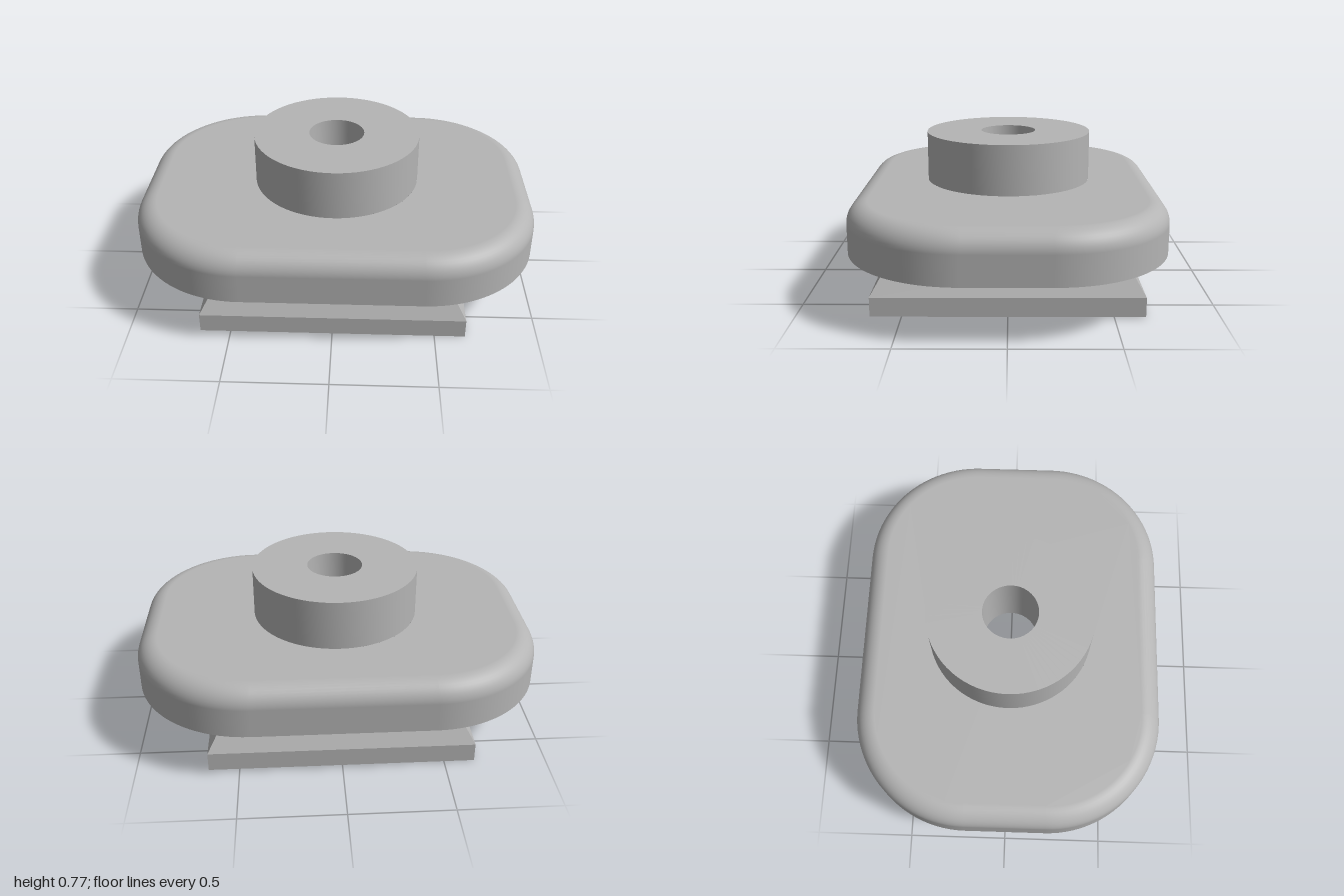
import * as THREE from 'three';
import { toCreasedNormals } from 'three/addons/utils/BufferGeometryUtils.js';

const HX = 1, HZ = 0.77, CORNER = 0.57, FILLET = 0.1;
const PLATE_Y = 0.28, PLATE_TOP = 0.525, BOSS_R = 0.42, BORE_R = 0.14;
const STEPS = 24; // segments per rounded corner

// Points of the rounded outline, moved inwards by inset: [x, z, angle]
function outline(inset) {
  const pts = [];
  const r = CORNER - inset;
  for (let q = 0; q < 4; q++) {
    const sx = q === 0 || q === 3 ? 1 : -1, sz = q < 2 ? 1 : -1;
    for (let i = 0; i <= STEPS; i++) {
      const a = (q + i / STEPS) * Math.PI / 2;
      pts.push([sx * (HX - CORNER) + r * Math.cos(a), sz * (HZ - CORNER) + r * Math.sin(a), a]);
    }
  }
  return pts;
}

// Vertical wall and rounded top edge, skinned from stacked outlines
function plateSkin() {
  const rows = [[0, PLATE_Y, 0]];
  for (let i = 0; i <= 10; i++) {
    const t = i / 10 * Math.PI / 2;
    rows.push([FILLET * (1 - Math.cos(t)), PLATE_TOP - FILLET * (1 - Math.sin(t)), t]);
  }
  const pos = [], nor = [], idx = [];
  const n = 4 * (STEPS + 1);
  rows.forEach(([inset, y, t], r) => {
    outline(inset).forEach(([x, z, a], i) => {
      pos.push(x, y, z);
      nor.push(Math.cos(a) * Math.cos(t), Math.sin(t), Math.sin(a) * Math.cos(t));
      if (r === 0) return;
      const j = (i + 1) % n, lo = (r - 1) * n, hi = r * n;
      idx.push(lo + i, hi + i, lo + j, lo + j, hi + i, hi + j);
    });
  });
  const g = new THREE.BufferGeometry();
  g.setAttribute('position', new THREE.Float32BufferAttribute(pos, 3));
  g.setAttribute('normal', new THREE.Float32BufferAttribute(nor, 3));
  g.setIndex(idx);
  return g;
}

const plateShape = inset => new THREE.Shape(outline(inset).map(([x, z]) => new THREE.Vector2(x, z)));
const squarePoints = h => [[-h, -h], [h, -h], [h, h], [-h, h]].map(p => new THREE.Vector2(...p));
const circlePath = r => new THREE.Path().absarc(0, 0, r, 0, Math.PI * 2, true);

// Flat face with a hole, lying at height y and facing up or down
function flatFace(shape, hole, y, up) {
  shape.holes.push(hole);
  return new THREE.ShapeGeometry(shape, 48).rotateX(up ? -Math.PI / 2 : Math.PI / 2).translate(0, y, 0);
}

// Square frustum wall between two half widths
function squareWall(bottom, top, y0, y1) {
  const g = new THREE.CylinderGeometry(top * Math.SQRT2, bottom * Math.SQRT2, y1 - y0, 4, 1, true)
    .rotateY(Math.PI / 4).translate(0, (y0 + y1) / 2, 0).toNonIndexed();
  g.computeVertexNormals();
  return g;
}

export function createModel() {
  const model = new THREE.Group();
  const metal = new THREE.MeshStandardMaterial({ color: 0xb4b4b4 });
  metal.name = 'grey metal';
  const add = (name, geometry) => {
    const mesh = new THREE.Mesh(geometry, metal);
    mesh.name = name;
    model.add(mesh);
  };

  // Rounded plate
  add('plateEdge', plateSkin());
  add('plateTop', flatFace(plateShape(FILLET), circlePath(BOSS_R), PLATE_TOP, true));
  add('plateUnderside', flatFace(plateShape(0), new THREE.Path(squarePoints(0.54)), PLATE_Y, false));

  // Tapered square foot
  add('footBand', squareWall(0.65, 0.65, 0, 0.095));
  add('footTaper', squareWall(0.65, 0.54, 0.095, PLATE_Y));
  add('footUnderside', flatFace(new THREE.Shape(squarePoints(0.65)), circlePath(BOSS_R), 0, false));

  // Round boss, through bore and wide recess from below
  const profile = [
    [BOSS_R, PLATE_TOP], [BOSS_R, 0.775], [BORE_R, 0.775],
    [BORE_R, 0.41], [BOSS_R, 0.41], [BOSS_R, 0],
  ].map(p => new THREE.Vector2(...p));
  add('bossAndBore', toCreasedNormals(new THREE.LatheGeometry(profile, 72), Math.PI / 6));

  return model;
}
